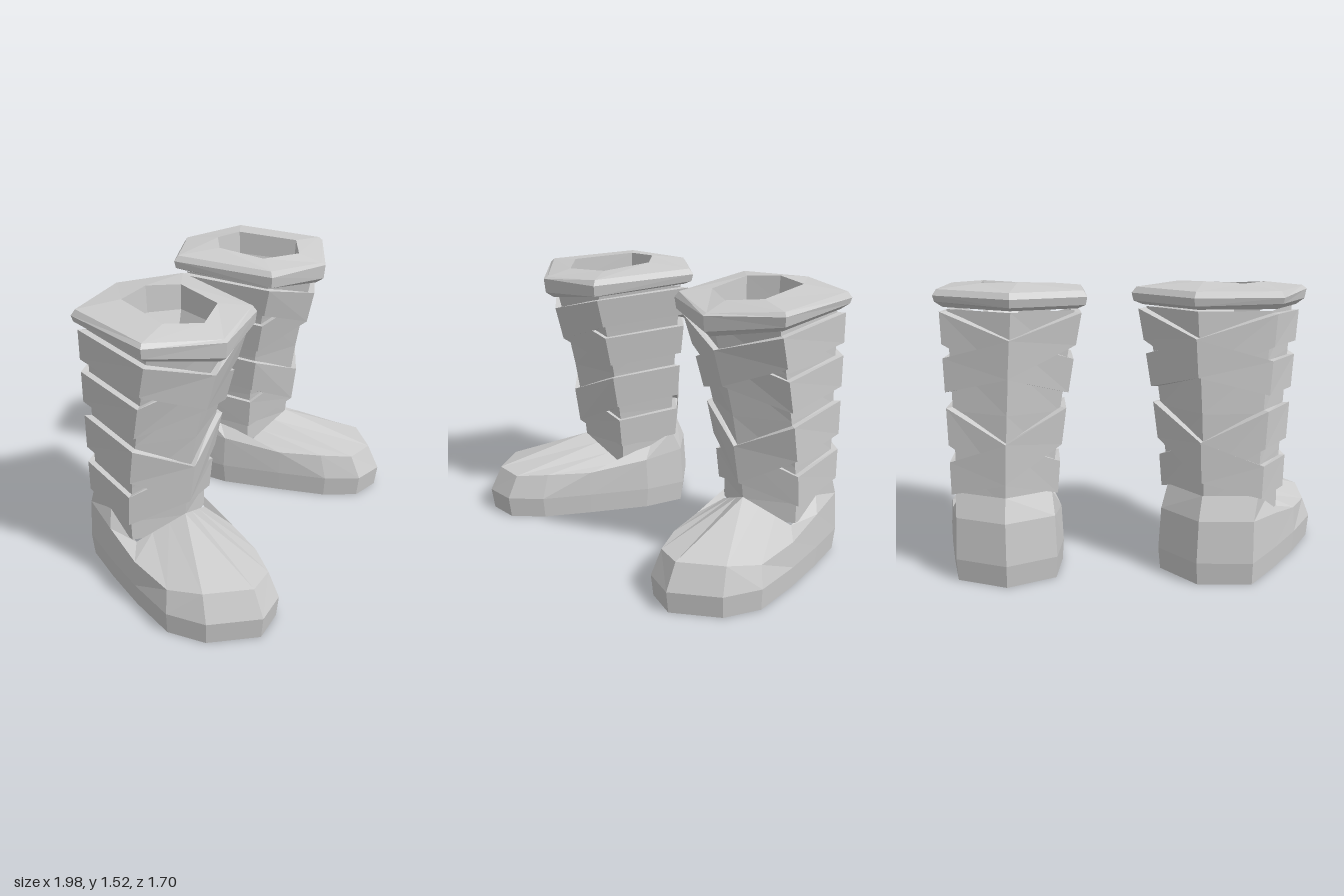
import * as THREE from 'three';

const material = new THREE.MeshStandardMaterial({ color: 0xcccccc, flatShading: true });
const CENTER = [-0.58, 0.04];

// Skin through rings of [x, y, z]; rings run counter-clockwise seen from above.
// side = -1 mirrors the part across x.
function loft(name, rings, side, { bottom, apex, closed } = {}) {
  const pos = [];
  const tri = (a, b, c) => {
    for (const p of side < 0 ? [a, c, b] : [a, b, c]) {
      pos.push((p[0] - CENTER[0]) * side, p[1], p[2] - CENTER[1]);
    }
  };
  const n = rings[0].length;
  const last = closed ? rings.length : rings.length - 1;
  for (let r = 0; r < last; r++) {
    const lo = rings[r], hi = rings[(r + 1) % rings.length];
    for (let i = 0; i < n; i++) {
      const j = (i + 1) % n;
      tri(lo[i], lo[j], hi[j]);
      tri(lo[i], hi[j], hi[i]);
    }
  }
  for (let i = 0; i < n; i++) {
    const j = (i + 1) % n;
    if (bottom) tri(bottom, rings[0][j], rings[0][i]);
    if (apex) tri(rings[rings.length - 1][i], rings[rings.length - 1][j], apex);
  }
  const geometry = new THREE.BufferGeometry();
  geometry.setAttribute('position', new THREE.Float32BufferAttribute(pos, 3));
  geometry.computeVertexNormals();
  const mesh = new THREE.Mesh(geometry, material);
  mesh.name = name;
  return mesh;
}

const lerp = THREE.MathUtils.lerp;
const mix = (a, b, t) => a.map((v, k) => lerp(v, b[k], t));

// Leg hexagon (x, z): front, front inner, back inner, back, back outer, front outer
const LEG_LOW = [[-0.65, 0.27], [-0.37, 0.10], [-0.36, -0.24], [-0.62, -0.36], [-0.90, -0.25], [-0.92, 0.12]];
const LEG_HIGH = [[-0.57, 0.46], [-0.24, 0.28], [-0.23, -0.26], [-0.57, -0.37], [-0.93, -0.19], [-0.92, 0.33]];

function legPoint(i, y, scale = 1) {
  const t = Math.max(0, (y - 0.41) / 0.96);
  const [x, z] = mix(LEG_LOW[i], LEG_HIGH[i], t ** 1.4);
  const cx = lerp(-0.64, -0.58, t), cz = lerp(-0.06, 0.04, t);
  return [cx + (x - cx) * scale, y, cz + (z - cz) * scale];
}
const legRing = (ys, scale) => ys.map((y, i) => legPoint(i, y, scale));

// Heights round the leg: front centre, front corners, back corners, back centre
const around = (front, corner, back) => [front, corner, corner + 0.04, back, corner + 0.04, corner];

// Wrapped straps: each pair crosses at front and back and parts at the sides
const STRAPS = [
  { mid: [1.05, 1.24], side: [1.18, 1.34] },
  { mid: [1.05, 1.24], side: [0.94, 1.11] },
  { mid: [0.51, 0.72], side: [0.67, 0.86] },
  { mid: [0.51, 0.72], side: [0.41, 0.58] },
];

// Foot outline at the ground (x, z), from the toe round the inner side
const SOLE = [[-0.67, 0.84], [-0.50, 0.77], [-0.42, 0.58], [-0.38, 0.30], [-0.34, -0.05], [-0.37, -0.29],
  [-0.62, -0.41], [-0.88, -0.30], [-0.93, -0.05], [-0.97, 0.22], [-0.99, 0.50], [-0.90, 0.69]];
const FOOT_TOP_Y = [0.26, 0.25, 0.26, 0.26, 0.31, 0.34, 0.34, 0.34, 0.31, 0.26, 0.23, 0.26];

function foot(side) {
  const scaled = (s, y) => SOLE.map(([x, z], i) =>
    [-0.66 + (x + 0.66) * s, Array.isArray(y) ? y[i] : y, 0.2 + (z - 0.2) * s]);
  // Ankle opening: hexagon corners with points between them
  const F = [-0.65, 0.42, 0.24], FI = [-0.41, 0.29, 0.10], FO = [-0.88, 0.29, 0.12];
  const BI = [-0.39, 0.46, -0.23], B = [-0.62, 0.46, -0.35], BO = [-0.88, 0.46, -0.24];
  const ankle = [F, mix(F, FI, 0.33), mix(F, FI, 0.67), FI, mix(FI, BI, 0.6), BI,
    B, BO, mix(BO, FO, 0.4), FO, mix(FO, F, 0.33), mix(FO, F, 0.67)];
  const rim = scaled(1, FOOT_TOP_Y).map((p, i) => {
    const s = i < 3 || i > 9 ? 0.91 : 0.985;
    return [-0.66 + (p[0] + 0.66) * s, p[1], 0.2 + (p[2] - 0.2) * s];
  });
  return loft('foot', [scaled(0.99, 0), scaled(1.015, 0.12), rim, ankle], side, { bottom: [-0.66, 0, 0.2] });
}

function cuff(side) {
  const outer = [[-0.57, 0.49], [-0.21, 0.30], [-0.20, -0.28], [-0.57, -0.39], [-0.96, -0.19], [-0.95, 0.35]];
  const hole = [[-0.57, 0.33], [-0.37, 0.19], [-0.38, -0.08], [-0.54, -0.16], [-0.73, -0.10], [-0.75, 0.25]];
  const ring = (pts, s, ys) => pts.map(([x, z], i) =>
    [-0.58 + (x + 0.58) * s, ys[i], 0.04 + (z - 0.04) * s]);
  return loft('cuff', [
    ring(outer, 0.88, [1.31, 1.36, 1.40, 1.40, 1.40, 1.37]),
    ring(outer, 0.98, [1.34, 1.37, 1.42, 1.42, 1.43, 1.40]),
    ring(outer, 1, [1.42, 1.43, 1.46, 1.46, 1.46, 1.45]),
    ring(outer, 0.95, [1.43, 1.46, 1.49, 1.49, 1.49, 1.47]),
    ring(hole, 1, [1.47, 1.48, 1.51, 1.52, 1.51, 1.49]),
    ring(hole, 0.97, [1.37, 1.37, 1.38, 1.38, 1.38, 1.37]),
  ], side, { apex: [-0.58, 0.9, 0.04] });
}

function boot(name, side) {
  const group = new THREE.Group();
  group.name = name;
  group.add(foot(side), cuff(side));

  // Plain leg beneath the straps
  const levels = [0.3, 0.41, 0.62, 0.88, 1.14, 1.39];
  group.add(loft('leg', levels.map((y) => legRing(Array(6).fill(y), 0.9)), side));

  // Straps standing proud of the leg
  for (const { mid, side: edge } of STRAPS) {
    const low = around(mid[0], edge[0], mid[0] + 0.02);
    const high = around(mid[1], edge[1], mid[1] + 0.02);
    group.add(loft('strap', [
      legRing(low, 0.87), legRing(low, 1), legRing(high, 1), legRing(high, 0.87),
    ], side, { closed: true }));
  }
  return group;
}

export function createModel() {
  const model = new THREE.Group();
  model.name = 'boots';
  const right = boot('rightBoot', 1);
  right.position.set(CENTER[0], 0, CENTER[1]);
  const left = boot('leftBoot', -1);
  left.position.set(0.41, 0, -0.41);
  left.rotation.y = THREE.MathUtils.degToRad(26);
  model.add(right, left);
  return model;
}
